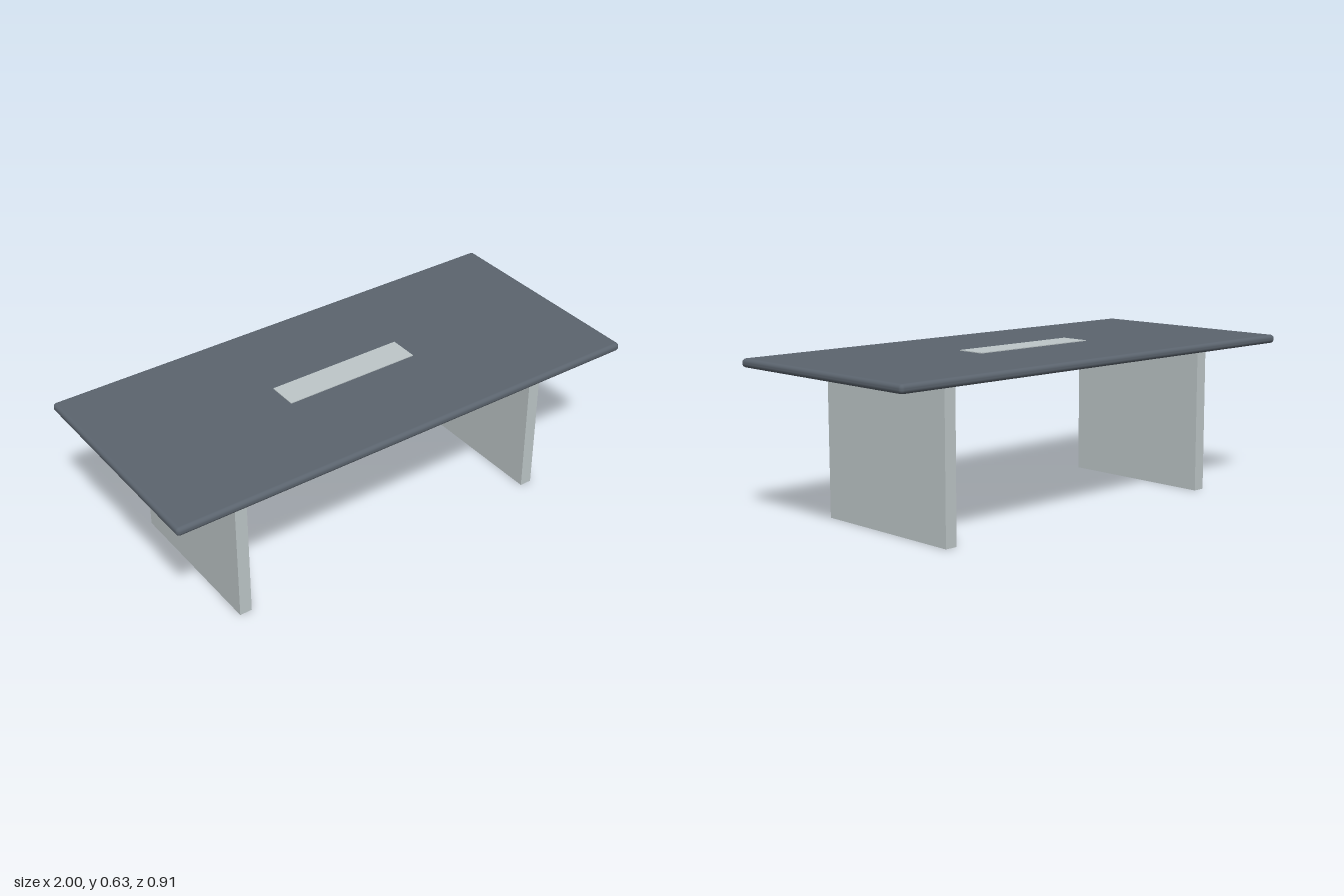
import * as THREE from 'three';
import { RoundedBoxGeometry } from 'three/addons/geometries/RoundedBoxGeometry.js';

export function createModel() {
  const table = new THREE.Group();
  table.name = 'conferenceTable';

  const slate = new THREE.MeshStandardMaterial({ color: 0x5b646e });
  slate.name = 'slate';
  const paleGrey = new THREE.MeshStandardMaterial({ color: 0xbdc6c8 });
  paleGrey.name = 'paleGrey';

  const add = (name, geometry, material, x, y, z) => {
    const mesh = new THREE.Mesh(geometry, material);
    mesh.name = name;
    mesh.position.set(x, y, z);
    table.add(mesh);
  };

  // Tabletop slab with softly rounded edges
  const bottom = 0.591, thickness = 0.034;
  add('tabletop', new RoundedBoxGeometry(2, thickness, 0.914, 3, 0.015), slate,
    0, bottom + thickness / 2, 0);

  // Thin cable cover set into the middle of the top
  add('cableCover', new THREE.BoxGeometry(0.566, 0.006, 0.12), paleGrey, 0, 0.625, 0);

  // Two slab legs, mirrored left and right
  for (const [name, side] of [['leftLeg', 1], ['rightLeg', -1]]) {
    add(name, new THREE.BoxGeometry(0.05, bottom, 0.66), paleGrey,
      side * 0.679, bottom / 2, 0);
  }

  return table;
}
